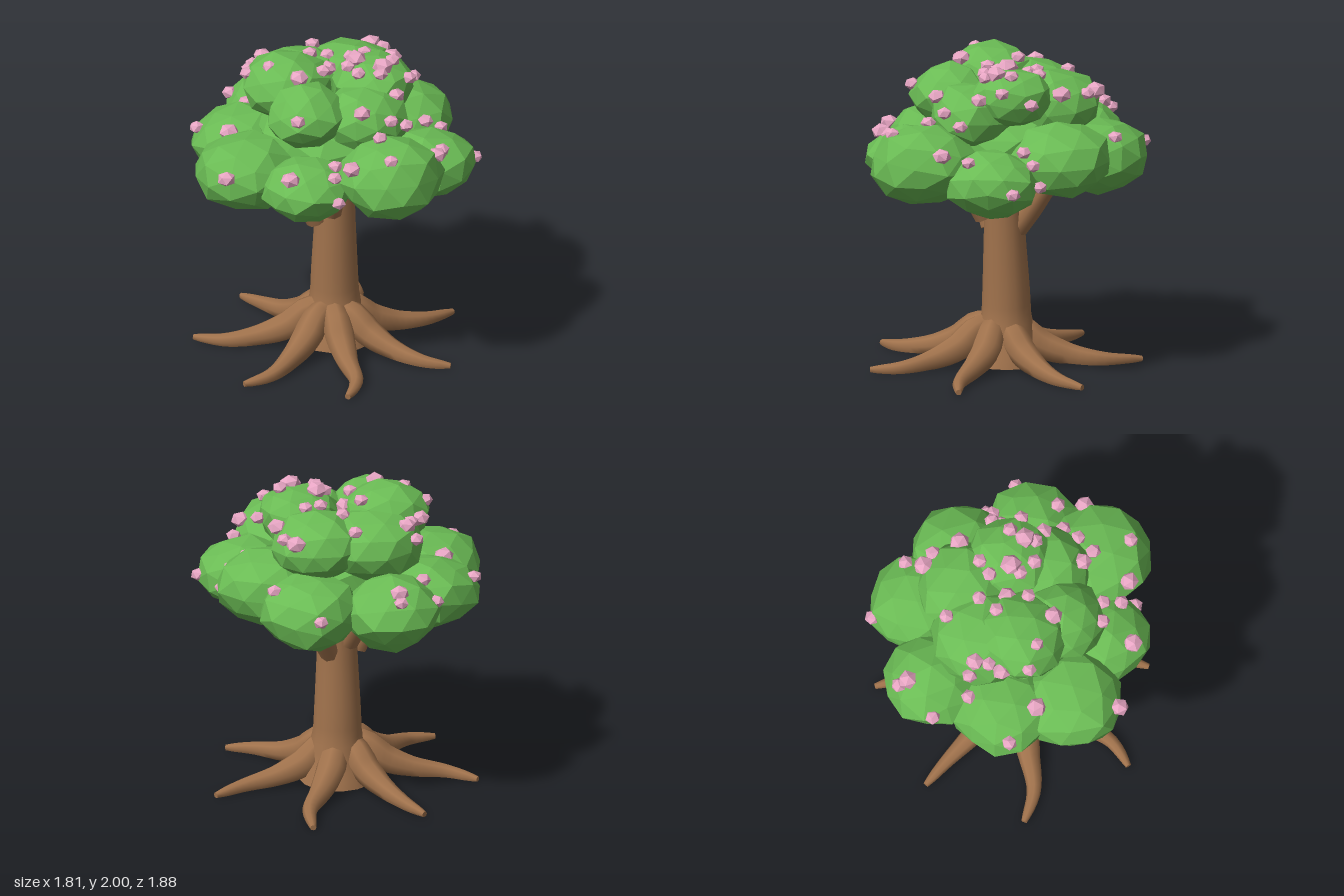
import * as THREE from 'three';
import { toCreasedNormals } from 'three/addons/utils/BufferGeometryUtils.js';

const bark = new THREE.MeshStandardMaterial({ color: 0xa0724c, side: THREE.DoubleSide });
bark.name = 'bark brown';
const leaf = new THREE.MeshStandardMaterial({ color: 0x6abb54, flatShading: true });
leaf.name = 'leaf green';
const petal = new THREE.MeshStandardMaterial({ color: 0xe8a6c4, flatShading: true });
petal.name = 'blossom pink';

// Tapered tube through points, with radii spread evenly along it; the far end is capped, the near end may stay open
function limb(name, points, radii, sides, segments = 14, openStart = false) {
  const curve = new THREE.CatmullRomCurve3(points.map(p => new THREE.Vector3(...p)));
  const geo = new THREE.TubeGeometry(curve, segments, 1, sides);
  const pos = geo.attributes.position;
  const v = new THREE.Vector3();
  const first = openStart ? 0 : 1;
  for (let i = 0; i <= segments; i++) {
    const axis = curve.getPointAt(i / segments);
    const base = curve.getPointAt(THREE.MathUtils.clamp(i, first, segments - 1) / segments);
    const f = (i / segments) * (radii.length - 1);
    const k = Math.min(Math.floor(f), radii.length - 2);
    const cap = i < first || i === segments;
    const r = cap ? 0 : THREE.MathUtils.lerp(radii[k], radii[k + 1], f - k);
    for (let j = 0; j <= sides; j++) {
      const n = i * (sides + 1) + j;
      v.fromBufferAttribute(pos, n).sub(axis).multiplyScalar(r).add(base);
      pos.setXYZ(n, v.x, Math.max(v.y, 0.005), v.z);
    }
  }
  const mesh = new THREE.Mesh(toCreasedNormals(geo, 0.9), bark);
  mesh.name = name;
  return mesh;
}

// Leaf clumps: x, y, z, horizontal radius, vertical radius
const clumps = [
  // lower ring
  [-0.58, 1.33, 0.15, 0.33, 0.23], [-0.26, 1.32, 0.46, 0.29, 0.2],
  [0.57, 1.32, 0.28, 0.3, 0.21], [0.24, 1.41, 0.6, 0.34, 0.25],
  [0.5, 1.41, -0.21, 0.34, 0.23], [0.31, 1.36, -0.56, 0.32, 0.24],
  [-0.19, 1.36, -0.63, 0.31, 0.24], [-0.49, 1.33, -0.28, 0.32, 0.22],
  // upper mass
  [-0.12, 1.69, -0.29, 0.33, 0.22], [0.22, 1.7, -0.3, 0.3, 0.21],
  [-0.25, 1.79, -0.07, 0.28, 0.21], [-0.2, 1.71, 0.23, 0.25, 0.2],
  [0.17, 1.66, 0.25, 0.27, 0.21], [0.28, 1.79, 0.03, 0.26, 0.18],
  // heart of the crown
  [0.03, 1.47, 0, 0.47, 0.22],
];

// Height of the canopy surface above a spot on the ground plan
function canopyHeight(x, z) {
  let top = 1.31;
  for (const [cx, cy, cz, r, h] of clumps) {
    const d = ((x - cx) ** 2 + (z - cz) ** 2) / (r * r);
    if (d < 1.1) top = Math.max(top, cy + h * Math.sqrt(Math.max(0, 1 - d)));
  }
  return top;
}

// Faceted ball whose corners are pushed in and out a little by a rule
function clumpGeometry(seed) {
  const geo = new THREE.IcosahedronGeometry(1, 1);
  const pos = geo.attributes.position;
  const v = new THREE.Vector3();
  for (let n = 0; n < pos.count; n++) {
    v.fromBufferAttribute(pos, n);
    v.multiplyScalar(1 + 0.055 * Math.sin(v.x * 7.1 + v.y * 11.3 + v.z * 5.7 + seed * 2.4));
    pos.setXYZ(n, v.x, v.y, v.z);
  }
  return geo.rotateX(seed * 1.3).rotateY(seed * 2.1);
}

// Blossoms: x, z and, for the larger ones, a radius
const blossoms = [
  [-0.21, -0.87], [-0.21, -0.81, 0.063], [-0.46, -0.73], [0.3, -0.87], [0.54, -0.57], [0.39, -0.5, 0.068],
  [0.45, -0.42], [0.46, -0.24, 0.066], [0.01, -0.48], [-0.38, -0.46], [-0.33, -0.41, 0.06], [-0.42, -0.48],
  [-0.44, -0.27, 0.06], [-0.37, -0.33], [-0.77, -0.33], [-0.62, -0.1, 0.066], [-0.5, -0.11], [-0.38, -0.02],
  [0.05, -0.25], [-0.08, -0.18], [0.01, -0.08, 0.058], [0.17, -0.14], [0.27, -0.17], [-0.05, 0.04],
  [-0.23, 0.14, 0.064], [0.17, 0, 0.07], [0.11, 0.04], [0.39, 0.07], [0.31, 0.14, 0.068], [0.28, 0.2],
  [0.15, 0.15], [0.47, 0.17], [0.36, 0.28, 0.058], [0.54, 0], [0.6, 0.08], [0.7, 0.06], [0.76, 0.04],
  [0.87, 0.27], [0.39, 0.42], [0.61, 0.46], [0.54, 0.61, 0.062], [0.28, 0.48], [0.1, 0.45, 0.058],
  [0.19, 0.55], [0.2, 0.8], [-0.03, 0.71, 0.062], [-0.09, 0.52], [-0.12, 0.63], [-0.4, 0.61, 0.065],
  [-0.31, 0.44], [-0.76, 0.4, 0.06], [-0.12, 0.72],
];

export function createModel() {
  const tree = new THREE.Group();
  tree.name = 'blossomTree';

  // Trunk, leaning slightly, with a wide open foot
  tree.add(limb('trunk',
    [[0.05, 0.02, -0.04], [0.045, 0.4, -0.045], [0.045, 0.8, -0.035], [0.045, 1.28, -0.025]],
    [0.24, 0.185, 0.155, 0.148, 0.14, 0.132, 0.126, 0.122, 0.115], 16, 24, true));

  // Seven roots around the foot: sideways swing of the knee and of the tip in degrees, reach
  const roots = new THREE.Group();
  roots.name = 'roots';
  const rootShapes = [[0, 8, 0.87], [-3, 4, 0.88], [-2, 5, 0.9], [-1, -2, 0.89], [2, -5, 0.95], [2, -2, 0.91], [6, 1, 0.88]];
  rootShapes.forEach(([knee, tip, reach], i) => {
    const at = (r, y, turn) => {
      const a = THREE.MathUtils.degToRad(90 + i * 360 / 7 + turn);
      return [0.01 + r * Math.cos(a), y, r * Math.sin(a)];
    };
    roots.add(limb('root',
      [at(0.02, 0.27, 0), at(0.14, 0.235, 0), at(0.25, 0.14, knee * 0.4), at(0.42, 0.075, knee),
        at(0.66, 0.038, knee), at(reach, 0.018, tip)],
      [0.06, 0.085, 0.095, 0.085, 0.068, 0.055, 0.043, 0.032, 0.01], 8, 20));
  });
  tree.add(roots);

  // Branches fanning from the trunk into the leaves
  const branches = new THREE.Group();
  branches.name = 'branches';
  const forks = [
    [[0, 0.9, 0.06], [-0.02, 1.42, 0.3]],
    [[-0.06, 0.8, 0.0], [-0.31, 1.42, 0.05]],
    [[0.07, 0.82, -0.07], [0.35, 1.42, -0.35]],
    [[0.08, 1.02, 0.03], [0.3, 1.42, 0.1]],
    [[0, 0.9, -0.08], [-0.15, 1.42, -0.32]],
  ];
  for (const [from, to] of forks) {
    const mid = from.map((c, k) => (c + to[k]) / 2);
    branches.add(limb('branch', [from, mid, to], [0.062, 0.072, 0.064, 0.055], 8, 10));
  }
  tree.add(branches);

  // Canopy of squashed faceted clumps
  const canopy = new THREE.Group();
  canopy.name = 'canopy';
  clumps.forEach(([x, y, z, r, h], i) => {
    const clump = new THREE.Mesh(clumpGeometry(i), leaf);
    clump.name = 'leafClump';
    clump.position.set(x, y, z);
    clump.scale.set(r, h, r);
    canopy.add(clump);
  });
  tree.add(canopy);

  // Blossoms scattered over the leaves
  const flowers = new THREE.Group();
  flowers.name = 'blossoms';
  blossoms.forEach(([x, z, r = 0.05], i) => {
    const flower = new THREE.Mesh(new THREE.IcosahedronGeometry(1, 0).rotateZ(i * 0.7).rotateY(i * 1.9), petal);
    flower.name = 'blossom';
    flower.position.set(x, Math.min(canopyHeight(x, z), 1.95), z);
    flower.scale.set(r, r * 0.8, r);
    flowers.add(flower);
  });
  tree.add(flowers);

  return tree;
}
